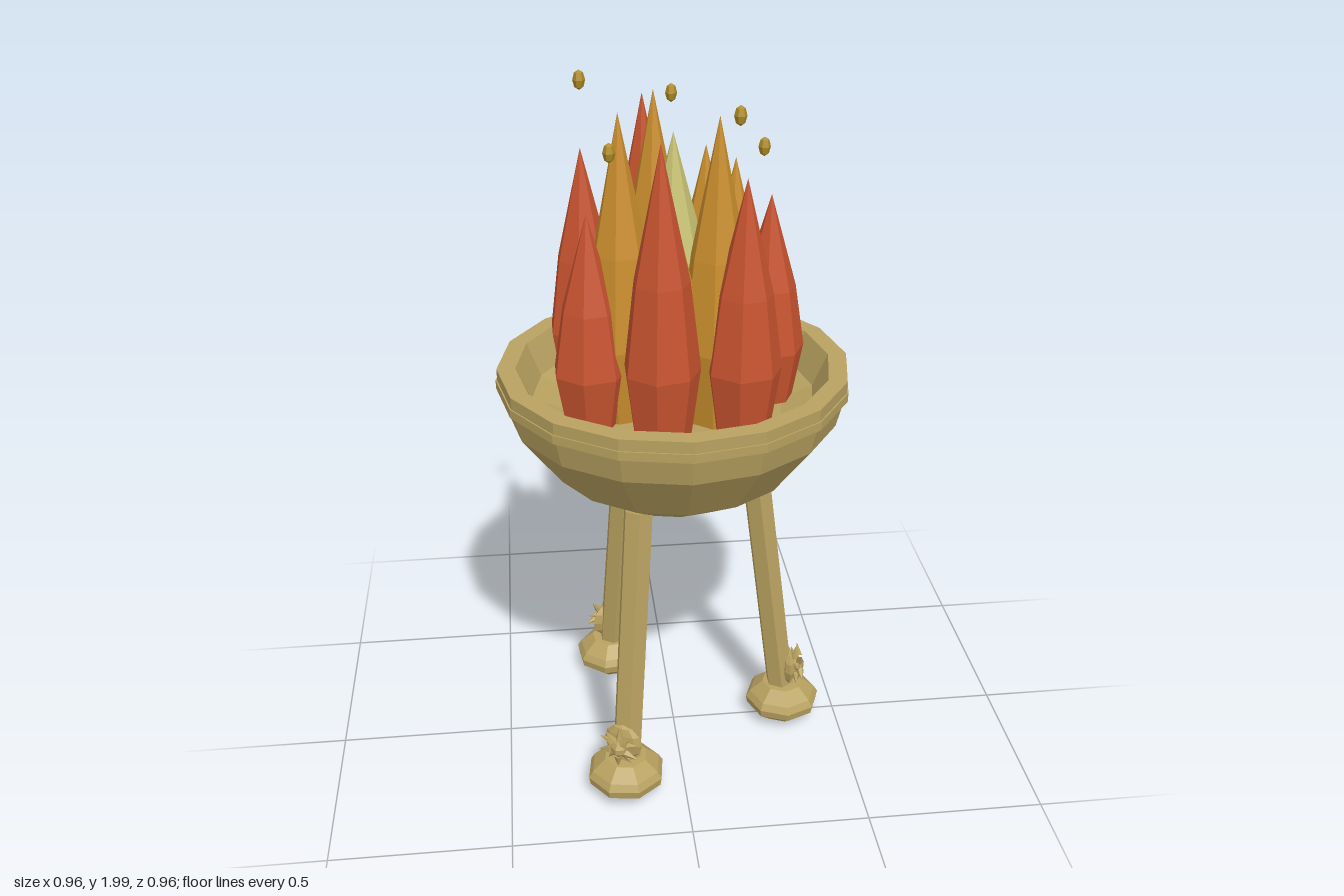
import * as THREE from 'three';

const mat = (name, color) => {
  const m = new THREE.MeshStandardMaterial({ color, flatShading: true });
  m.name = name;
  return m;
};

export function createModel() {
  const bronze = mat('pale bronze', 0xb8a160);
  const red = mat('flame red', 0xc8532f);
  const orange = mat('flame orange', 0xca8e2e);
  const yellow = mat('flame pale yellow', 0xc8c272);
  const ember = mat('ember gold', 0xb08c26);
  const model = new THREE.Group();
  model.name = 'fireBowl';

  const add = (parent, name, geometry, material, x = 0, y = 0, z = 0) => {
    const mesh = new THREE.Mesh(geometry, material);
    mesh.name = name;
    mesh.position.set(x, y, z);
    parent.add(mesh);
    return mesh;
  };
  // Faceted solid of revolution with one corner on +x
  const lathe = (points, sides) => new THREE.LatheGeometry(
    points.map(([r, y]) => new THREE.Vector2(r, y)), sides).rotateY(Math.PI / 2);

  // Bowl: outside, flat rim, then the hollow inside
  add(model, 'bowl', lathe([
    [0, 0.845], [0.19, 0.845], [0.34, 0.94], [0.45, 1.09], [0.467, 1.16], [0.475, 1.165],
    [0.475, 1.222], [0.425, 1.222], [0.385, 1.13], [0.3, 1.095], [0, 1.06],
  ], 16), bronze);
  add(model, 'rimBand', lathe([
    [0.47, 1.166], [0.479, 1.166], [0.479, 1.19], [0.47, 1.19],
  ], 16), bronze);

  // Three splayed legs, each with a foot and a maned mask facing outward
  const up = new THREE.Vector3(0, 1, 0);
  for (let i = 0; i < 3; i++) {
    const leg = new THREE.Group();
    leg.name = 'leg' + (i + 1);
    leg.rotation.y = i * Math.PI * 2 / 3;
    model.add(leg);

    const a = new THREE.Vector3(0.336, 0.08, 0), b = new THREE.Vector3(0.232, 0.885, 0);
    const dir = b.clone().sub(a), mid = a.clone().add(b).multiplyScalar(0.5);
    const post = add(leg, 'legPost', new THREE.CylinderGeometry(0.042, 0.042, dir.length(), 6),
      bronze, mid.x, mid.y, 0);
    post.quaternion.setFromUnitVectors(up, dir.normalize());

    add(leg, 'foot', lathe([
      [0, 0.01], [0.06, 0.012], [0.108, 0.052], [0.112, 0.075], [0.1, 0.095], [0.062, 0.128], [0, 0.13],
    ], 8), bronze, 0.338, 0, 0);

    add(leg, 'maskDisc', new THREE.SphereGeometry(1, 8, 6).scale(0.02, 0.058, 0.058),
      bronze, 0.352, 0.185, 0);
    add(leg, 'maskFace', new THREE.SphereGeometry(0.026, 6, 5), bronze, 0.378, 0.18, 0);
    for (let k = 0; k < 10; k++) {
      const t = k * Math.PI / 5;
      const lock = add(leg, 'maneLock', new THREE.ConeGeometry(0.013, 0.04, 5), bronze,
        0.375 + (k % 2) * 0.012, 0.185 + Math.cos(t) * 0.044, Math.sin(t) * 0.044);
      lock.rotation.x = t;
    }
  }

  // Faceted flame: narrow base, low bulge, long tapering tip
  const flame = (name, material, radius, x, z, top, base = 1.11) => {
    const h = top - base;
    add(model, name, lathe([
      [0, 0], [radius * 0.74, 0], [radius, h * 0.26], [radius * 0.72, h * 0.56], [0, h],
    ], 7), material, x, base, z);
  };
  for (let i = 0; i < 7; i++) {
    const t = i * Math.PI * 2 / 7, c = Math.cos(t), s = Math.sin(t);
    flame('outerFlame', red, 0.1, c * 0.255, s * 0.255, 1.68 + (i % 3) * 0.105);
    flame('innerFlame', orange, 0.1, c * 0.16, s * 0.16, i % 2 ? 1.92 : 1.78);
  }
  flame('coreFlame', yellow, 0.12, 0, 0, 1.85);

  // Floating embers
  for (const [x, y, z] of [
    [-0.23, 1.975, -0.04], [-0.172, 1.845, 0.157], [0.02, 1.89, -0.235],
    [0.14, 1.933, 0.183], [0.232, 1.805, 0],
  ]) add(model, 'ember', new THREE.SphereGeometry(1, 6, 4).scale(0.016, 0.025, 0.016), ember, x, y, z);

  return model;
}
